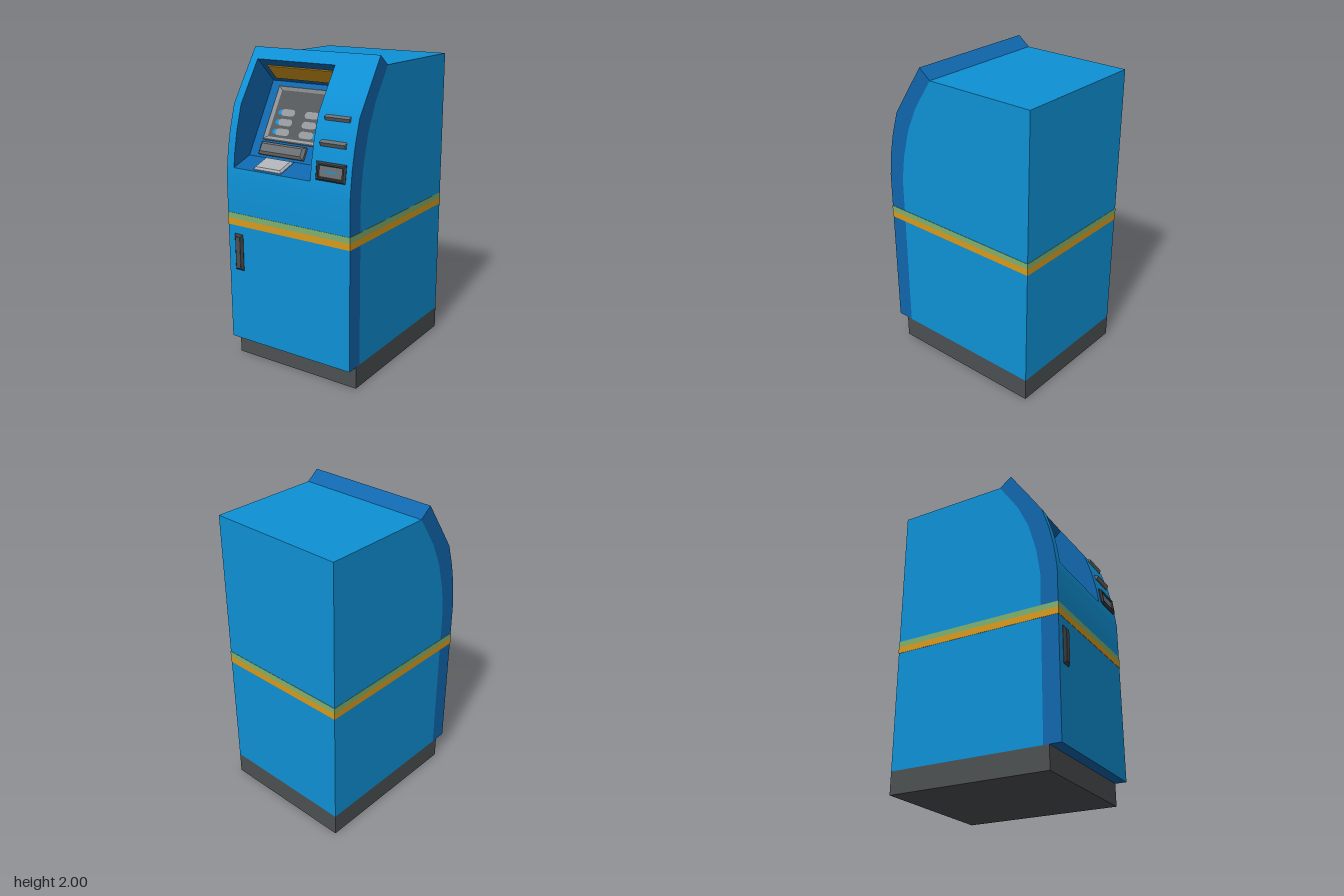
import * as THREE from 'three';

const mat = (name, color, side = THREE.FrontSide) => {
  const m = new THREE.MeshStandardMaterial({ color, side });
  m.name = name;
  return m;
};

// Sheet following a [z, y] profile, spanning x0..x1; keep(i) picks segments.
function strip(profile, x0, x1, smooth = false, keep = () => true) {
  const segNormals = profile.slice(1).map(([z, y], i) => {
    const dz = z - profile[i][0], dy = y - profile[i][1], l = Math.hypot(dz, dy);
    return new THREE.Vector3(0, -dz / l, dy / l);
  });
  const pointNormal = (i) => {
    const a = segNormals[Math.max(i - 1, 0)], b = segNormals[Math.min(i, segNormals.length - 1)];
    return a.clone().add(b).normalize();
  };
  const pos = [], nor = [];
  segNormals.forEach((n, i) => {
    if (!keep(i)) return;
    [[x0, i], [x1, i], [x1, i + 1], [x0, i], [x1, i + 1], [x0, i + 1]].forEach(([x, k]) => {
      pos.push(x, profile[k][1], profile[k][0]);
      nor.push(...(smooth ? pointNormal(k) : n).toArray());
    });
  });
  const g = new THREE.BufferGeometry();
  g.setAttribute('position', new THREE.Float32BufferAttribute(pos, 3));
  g.setAttribute('normal', new THREE.Float32BufferAttribute(nor, 3));
  return g;
}

// Flat polygon of [z, y] points at a given x, facing +x or -x.
function sideFace(points, x, dir) {
  const shape = new THREE.Shape(points.map(([z, y]) => new THREE.Vector2(-dir * z, y)));
  return new THREE.ShapeGeometry(shape).rotateY(dir * Math.PI / 2).translate(x, 0, 0);
}

// Flat-sided loft through concentric rectangles [width, height, z]; the last may be capped.
function rings(list, cap = true) {
  const corner = ([w, h, z], k) => [[-1, -1], [1, -1], [1, 1], [-1, 1]][k % 4].map((s, i) => s * (i ? h : w) / 2).concat(z);
  const pos = [];
  const quad = (a, b, c, d) => pos.push(...a, ...b, ...c, ...a, ...c, ...d);
  for (let i = 0; i < list.length - 1; i++)
    for (let k = 0; k < 4; k++)
      quad(corner(list[i], k), corner(list[i], k + 1), corner(list[i + 1], k + 1), corner(list[i + 1], k));
  const end = list[list.length - 1];
  if (cap) quad(corner(end, 0), corner(end, 1), corner(end, 2), corner(end, 3));
  const g = new THREE.BufferGeometry();
  g.setAttribute('position', new THREE.Float32BufferAttribute(pos, 3));
  g.computeVertexNormals();
  return g;
}
const bevelBlock = (w, h, d, b) => rings([[w, h, -0.005], [w, h, d - b], [w - 2 * b, h - 2 * b, d]]);

// Thin plate with fully rounded ends.
function pill(w, h) {
  const r = h / 2, s = new THREE.Shape();
  s.absarc(w / 2 - r, 0, r, -Math.PI / 2, Math.PI / 2);
  s.absarc(-w / 2 + r, 0, r, Math.PI / 2, Math.PI * 1.5);
  return new THREE.ShapeGeometry(s, 8);
}

export function createModel() {
  const blue = mat('cabinet blue', 0x0e91d6);
  const deepBlue = mat('deep blue', 0x1067ae);
  const gold = mat('gold', 0xd99a1c);
  const green = mat('soft green', 0x7fb070);
  const baseGrey = mat('base grey', 0x4c5052);
  const dark = mat('dark grey', 0x3c3f41);
  const midGrey = mat('mid grey', 0x6c7073);
  const screenGrey = mat('screen grey', 0x55595b);
  const frameGrey = mat('frame grey', 0x94989c);
  const lightGrey = mat('light grey', 0xadb1b6);

  const model = new THREE.Group();
  model.name = 'cashMachine';
  const add = (name, geo, material, parent = model) => {
    const m = new THREE.Mesh(geo, material);
    m.name = name;
    parent.add(m);
    return m;
  };
  const group = (name, x, y, z, tilt) => {
    const g = new THREE.Group();
    g.name = name;
    g.position.set(x, y, z);
    g.rotation.x = tilt;
    model.add(g);
    return g;
  };

  const W = 0.455, BACK = -0.575, FLOOR = 0.145;
  const RL = -0.4, RR = 0.175; // recess sides

  // Profiles as [z, y]
  const outer = [[0.56, FLOOR], [0.56, 1.05], [0.56, 1.225], [0.553, 1.29], [0.54, 1.39], [0.512, 1.52],
    [0.466, 1.67], [0.38, 1.8], [0.292, 1.93], [0.245, 2]];
  const inner = [[0.447, FLOOR], [0.447, 1.22], [0.422, 1.39], [0.37, 1.58], [0.296, 1.74], [0.164, 1.938]];
  const recess = [[0.553, 1.29], [0.4, 1.34], [0.14, 1.78], [0.292, 1.93]];

  // Plinth
  add('plinth', new THREE.BoxGeometry(2 * W, FLOOR, 1.06).translate(0, FLOOR / 2, -0.045), baseGrey);

  // Cabinet body: top, back, underside and sides
  add('cabinetTopAndBack', strip([inner[5], [BACK, 1.938], [BACK, FLOOR], [0.447, FLOOR]], -W, W), blue);
  // Curved front with an opening for the recess
  add('frontRightColumn', strip(outer, -W, RL, true), blue);
  add('frontLeftColumn', strip(outer, RR, W, true), blue);
  add('frontMiddle', strip(outer, RL, RR, true, (i) => i < 3 || i > 7), blue);
  add('fasciaTopEdge', strip([outer[9], inner[5]], -W, W), deepBlue);
  add('fasciaBottomEdge', strip([inner[0], outer[0]], -W, W), deepBlue);
  for (const s of [-1, 1]) {
    add('cabinetSide', sideFace([...inner, [BACK, 1.938], [BACK, FLOOR]], s * W, s), blue);
    add('fasciaSide', sideFace([...outer, ...[...inner].reverse()], s * W, s), deepBlue);
  }

  // Recess
  const recessOutline = [...outer.slice(3, 9), recess[2], recess[1]];
  add('recessShell', strip(recess, RL, RR), deepBlue);
  add('recessRightWall', sideFace(recessOutline, RL, 1), deepBlue);
  add('recessLeftWall', sideFace(recessOutline, RR, -1), deepBlue);

  // Stripes around the cabinet
  [['goldStripe', gold, 0.92, 0.963], ['greenStripe', green, 0.963, 1]].forEach(([name, m, y0, y1]) =>
    add(name, new THREE.BoxGeometry(2 * W + 0.004, y1 - y0, 1.139).translate(0, (y0 + y1) / 2, -0.0075), m));

  // Lit sign under the recess ceiling
  const sign = group('sign', -0.115, 1.846, 0.207, Math.PI / 4);
  add('signPanel', rings([[0.49, 0.127, -0.002], [0.48, 0.12, 0.006]]), gold, sign);

  // Screen with bevelled frame, side labels and markers
  const TILT = -Math.atan2(0.26, 0.44);
  const screen = group('screen', -0.1125, 1.593, 0.2505, TILT);
  add('screenFrame', rings([[0.435, 0.362, -0.01], [0.435, 0.362, 0.014], [0.425, 0.352, 0.016],
    [0.385, 0.312, 0.003]], false), frameGrey, screen);
  add('screenPanel', new THREE.PlaneGeometry(0.387, 0.314).translate(0, 0, 0.003), screenGrey, screen);
  for (const s of [-1, 1])
    for (const y of [0.01, -0.055, -0.119]) {
      add('screenMarker', new THREE.CircleGeometry(0.018, 12).translate(s * 0.148, y, 0.005), blue, screen);
      add('screenLabel', pill(0.105, 0.045).translate(s * 0.09, y, 0.007), frameGrey, screen);
    }

  // Cash outlet below the screen
  const outlet = group('cashOutlet', -0.155, 1.388, 0.371, TILT);
  add('cashOutletBlock', bevelBlock(0.34, 0.082, 0.032, 0.016), midGrey, outlet);

  // Keypad on the shelf
  const keypad = group('keypad', -0.152, 1.315, 0.475, Math.atan2(0.05, 0.153) - Math.PI / 2);
  add('keypadBlock', bevelBlock(0.208, 0.135, 0.018, 0.012), lightGrey, keypad);

  // Two slot hoods
  [[[0.44, 1.684], [0.487, 1.663], [0.472, 1.637], [0.44, 1.64]],
    [[0.49, 1.542], [0.537, 1.524], [0.523, 1.5], [0.49, 1.5]]].forEach((p) => {
    const hood = new THREE.Shape(p.map(([z, y]) => new THREE.Vector2(-z, y)));
    add('slotHood', new THREE.ExtrudeGeometry(hood, { depth: 0.17, bevelEnabled: false })
      .rotateY(Math.PI / 2).translate(0.23, 0, 0), midGrey);
  });

  // Card reader
  const reader = group('cardReader', 0.3175, 1.36, 0.542, -0.14);
  add('cardReaderFrame', rings([[0.19, 0.095, -0.01], [0.205, 0.11, 0.008], [0.185, 0.09, 0.02],
    [0.165, 0.074, 0.02], [0.155, 0.064, 0.01]], false), dark, reader);
  add('cardReaderFace', new THREE.PlaneGeometry(0.158, 0.067).translate(0, 0, 0.011), midGrey, reader);
  add('cardSlot', new THREE.PlaneGeometry(0.092, 0.009).translate(0, 0, 0.013), blue, reader);

  // Door handle
  const handle = group('doorHandle', -0.3725, 0.745, 0.56, 0);
  add('handleFrame', bevelBlock(0.065, 0.24, 0.016, 0.014), dark, handle);
  add('handleGrip', new THREE.BoxGeometry(0.036, 0.205, 0.004).translate(0, 0, 0.0155), baseGrey, handle);

  return model;
}
